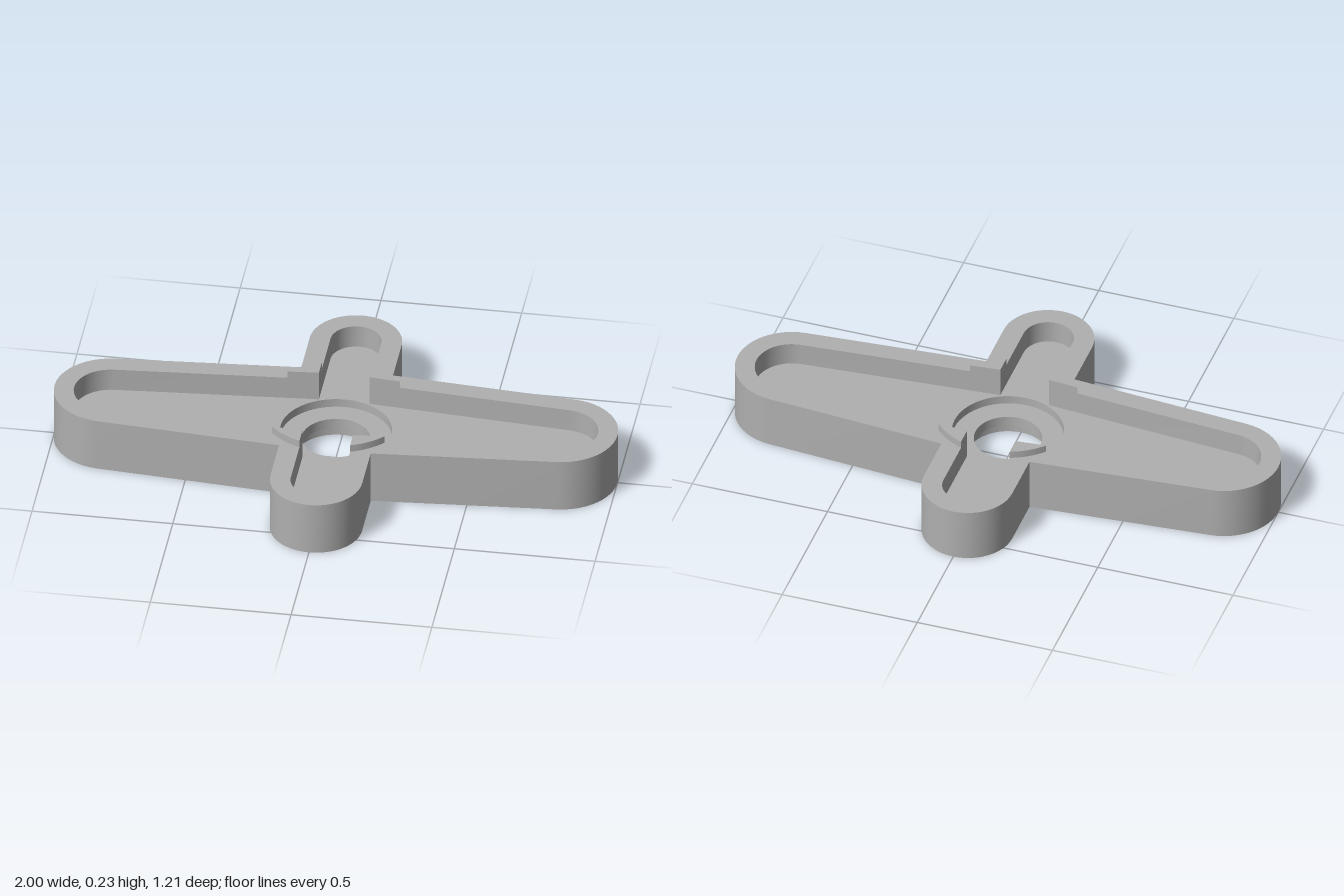
import * as THREE from 'three';
import { mergeGeometries, toCreasedNormals } from 'three/addons/utils/BufferGeometryUtils.js';

// Counter-clockwise outline of a cross: tapered long arms, straight short arms, round ends
function crossOutline(longR, shortR, shortCentre) {
  const tilt = 0.075, half = Math.PI / 2, longCentre = 0.8;
  const pts = [];
  const arc = (cx, cy, r, a0, a1) => {
    for (let i = 0; i <= 24; i++) {
      const a = a0 + (a1 - a0) * i / 24;
      pts.push(new THREE.Vector2(cx + r * Math.cos(a), cy + r * Math.sin(a)));
    }
  };
  // where a tapered side meets a short arm
  const inner = longR * Math.cos(tilt) +
    Math.tan(tilt) * (longCentre + longR * Math.sin(tilt) - shortR);
  arc(longCentre, 0, longR, -half + tilt, half - tilt);
  pts.push(new THREE.Vector2(shortR, inner));
  arc(0, shortCentre, shortR, 0, Math.PI);
  pts.push(new THREE.Vector2(-shortR, inner));
  arc(-longCentre, 0, longR, half + tilt, 3 * half - tilt);
  pts.push(new THREE.Vector2(-shortR, -inner));
  arc(0, -shortCentre, shortR, Math.PI, 2 * Math.PI);
  pts.push(new THREE.Vector2(shortR, -inner));
  return pts;
}

function circle(r) {
  return Array.from({ length: 64 }, (_, i) => {
    const a = i / 64 * Math.PI * 2;
    return new THREE.Vector2(r * Math.cos(a), r * Math.sin(a));
  });
}

// Upright wall along a closed outline, facing outwards or inwards
function wall(outline, y0, y1, inwards = false) {
  const pts = inwards ? [...outline].reverse() : outline;
  const pos = [];
  pts.forEach((p, i) => {
    const q = pts[(i + 1) % pts.length];
    pos.push(p.x, y0, -p.y, q.x, y0, -q.y, q.x, y1, -q.y);
    pos.push(p.x, y0, -p.y, q.x, y1, -q.y, p.x, y1, -p.y);
  });
  const g = new THREE.BufferGeometry();
  g.setAttribute('position', new THREE.Float32BufferAttribute(pos, 3));
  return g;
}

// Level face with an optional opening, facing up or down
function face(outline, opening, y, down = false) {
  const shape = new THREE.Shape(outline);
  if (opening) shape.holes.push(new THREE.Path(opening));
  const g = new THREE.ShapeGeometry(shape).toNonIndexed();
  g.deleteAttribute('uv');
  g.deleteAttribute('normal');
  g.rotateX(down ? Math.PI / 2 : -Math.PI / 2);
  return g.translate(0, y, 0);
}

function solid(name, parts, material) {
  parts.forEach(p => p.deleteAttribute('normal'));
  const mesh = new THREE.Mesh(toCreasedNormals(mergeGeometries(parts), 0.5), material);
  mesh.name = name;
  return mesh;
}

export function createModel() {
  const group = new THREE.Group();
  group.name = 'crossArmHolder';
  const grey = new THREE.MeshStandardMaterial({ color: 0xb0b0b0 });
  grey.name = 'grey';

  const top = 0.2, floor = 0.115, seat = 0.083, lip = 0.045;
  const outer = crossOutline(0.2, 0.163, 0.44);
  const pocket = crossOutline(0.13, 0.09, 0.443);
  const recess = circle(0.197), hole = circle(0.12), bore = circle(0.145);

  // Outer shell and rim
  group.add(solid('shell', [
    wall(outer, 0, top), face(outer, pocket, top), face(outer, bore, 0, true),
  ], grey));
  // Cross-shaped pocket
  group.add(solid('pocket', [
    wall(pocket, floor, top, true), face(pocket, recess, floor),
  ], grey));
  // Stepped centre hole: recess above, lip, wider bore below
  group.add(solid('centreHole', [
    wall(recess, seat, floor, true), face(recess, hole, seat),
    wall(hole, lip, seat, true), face(bore, hole, lip, true),
    wall(bore, 0, lip, true),
  ], grey));

  // Four raised tabs in the inner corners of the rim
  for (const sx of [1, -1]) for (const sz of [1, -1]) {
    const pts = [new THREE.Vector2(sx * 0.09, sz * 0.184)];
    for (let i = 0; i <= 8; i++) {
      const a = 0.719 + (1.224 - 0.719) * i / 8;
      pts.push(new THREE.Vector2(sx * 0.265 * Math.cos(a), sz * 0.265 * Math.sin(a)));
    }
    if (THREE.ShapeUtils.isClockWise(pts)) pts.reverse();
    group.add(solid('cornerTab', [
      wall(pts, top, 0.227), face(pts, null, 0.227),
    ], grey));
  }
  return group;
}
